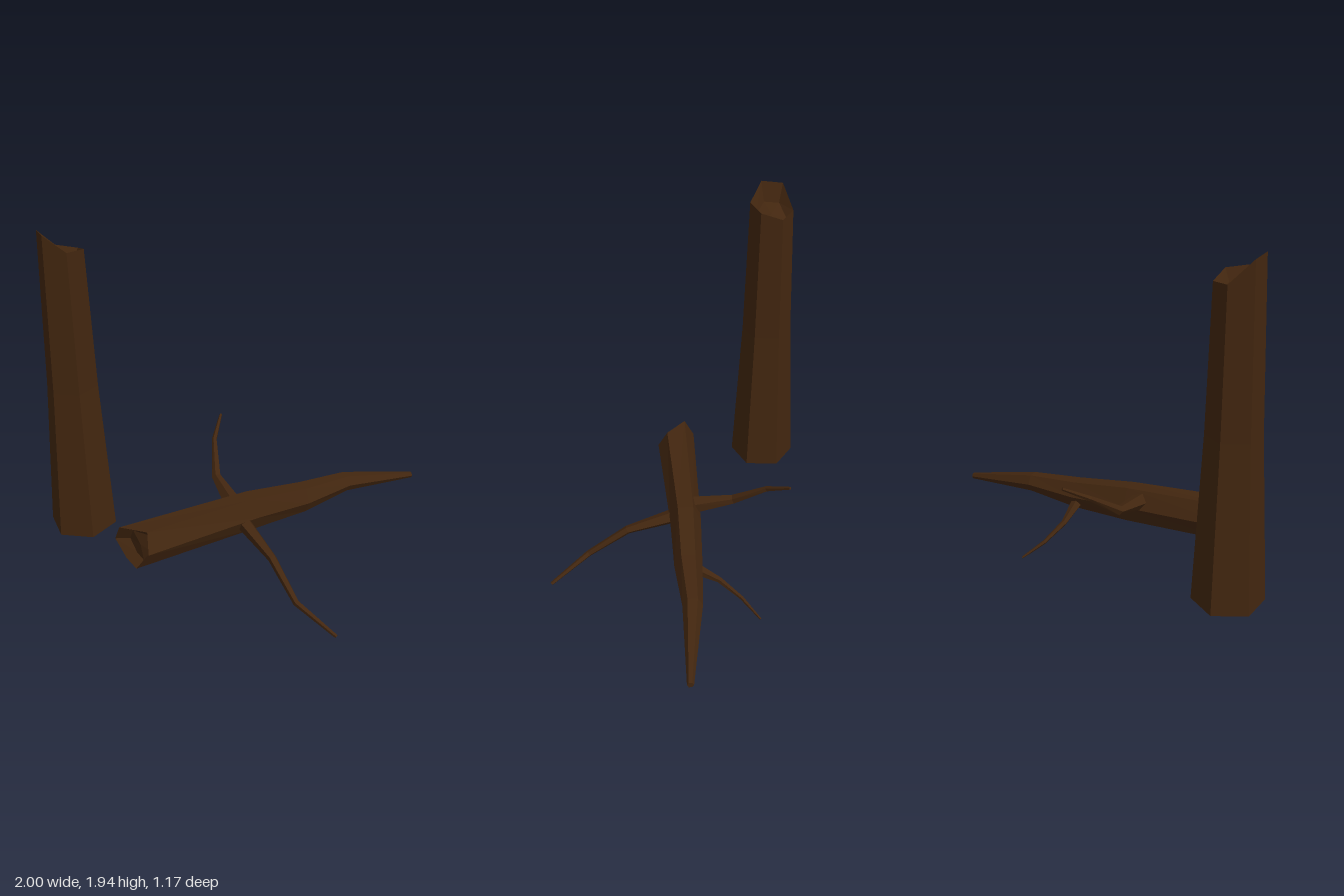
import * as THREE from 'three';

const bark = new THREE.MeshStandardMaterial({ color: 0x42260f, flatShading: true });
bark.name = 'bark brown';

const V = (x, y, z) => new THREE.Vector3(x, y, z);

// One elliptical ring of n corners; shift moves each corner along u x v
function ring(c, u, v, ru, rv, n, shift = []) {
  const t = u.clone().cross(v);
  return Array.from({ length: n }, (_, i) => {
    const a = (i / n) * Math.PI * 2;
    return c.clone().addScaledVector(u, ru * Math.cos(a))
      .addScaledVector(v, rv * Math.sin(a)).addScaledVector(t, shift[i] ?? 0);
  });
}

// Skin a run of rings and close both ends with fans
function loft(name, rings) {
  const pos = [];
  const tri = (...p) => p.forEach((q) => pos.push(q.x, q.y, q.z));
  const n = rings[0].length;
  const middle = (r) => r.reduce((s, p) => s.add(p), V(0, 0, 0)).divideScalar(n);
  const first = rings[0], last = rings[rings.length - 1];
  const c0 = middle(first), c1 = middle(last);
  for (let i = 0; i < n; i++) {
    const j = (i + 1) % n;
    for (let k = 0; k + 1 < rings.length; k++) {
      const a = rings[k], b = rings[k + 1];
      tri(a[i], a[j], b[j]);
      tri(a[i], b[j], b[i]);
    }
    tri(c0, first[j], first[i]);
    tri(c1, last[i], last[j]);
  }
  const g = new THREE.BufferGeometry();
  g.setAttribute('position', new THREE.Float32BufferAttribute(pos, 3));
  g.computeVertexNormals();
  const mesh = new THREE.Mesh(g, bark);
  mesh.name = name;
  return mesh;
}

// Standing stump: tapered hexagon with a splintered, hollow top
function makeTrunk() {
  const u = V(1, 0, 0), v = V(0, 0, -1);
  const at = (y, r, shift) => ring(V(-0.82, y, 0.052), u, v, r, r, 6, shift);
  const jag = [0.015, -0.02, -0.01, 0.1, 0.11, 0.03];
  return loft('standingTrunk', [
    at(0.237, 0.18), at(1.1, 0.135), at(1.83, 0.114, jag),
    at(1.78, 0.08, jag.map((d) => d * 0.5)),
  ]);
}

// Fallen log: hexagonal, broken at the thick end and tapering to a tip
function makeLog() {
  const t = V(0.817, 0, -0.577), p = V(0.577, 0, 0.817);
  const u = p.clone().negate(), v = V(0, 1, 0);
  const jag = [-0.05, -0.045, 0.065, 0.045, -0.005, -0.015];
  // distance along, sideways offset, height, half width, vertical radius
  const rows = [
    [-0.58, 0.095, 0.375, 0.078, 0.085, jag.map((d) => d * 0.5)],
    [-0.627, 0.094, 0.377, 0.107, 0.12, jag],
    [0.08, 0.071, 0.357, 0.084, 0.114],
    [0.41, 0.072, 0.338, 0.074, 0.088],
    [0.7, 0.065, 0.347, 0.052, 0.055],
    [1.14, 0.099, 0.276, 0.017, 0.018],
  ];
  return loft('fallenLog', rows.map(([s, q, y, ru, rv, shift]) => ring(
    V(0, y, 0).addScaledVector(t, s).addScaledVector(p, q), u, v, ru, rv, 6, shift)));
}

// Bare branch: five-sided, thinning along a bent path
function makeBranch(name, points, radii) {
  const pts = points.map((p) => V(...p));
  return loft(name, pts.map((p, i) => {
    const t = pts[Math.min(i + 1, pts.length - 1)].clone()
      .sub(pts[Math.max(i - 1, 0)]).normalize();
    const u = V(0, 1, 0).cross(t).normalize();
    return ring(p, u, t.clone().cross(u), radii[i], radii[i], 5);
  }));
}

export function createModel() {
  const model = new THREE.Group();
  model.name = 'brokenTree';
  model.add(
    makeTrunk(),
    makeLog(),
    makeBranch('upperBranch',
      [[0.01, 0.4, 0.02], [-0.105, 0.44, -0.165], [-0.142, 0.57, -0.35], [-0.125, 0.65, -0.495]],
      [0.048, 0.026, 0.015, 0.008]),
    makeBranch('lowerTwig',
      [[0.34, 0.3, -0.2], [0.28, 0.225, -0.31], [0.263, 0.145, -0.44], [0.281, 0.072, -0.567]],
      [0.032, 0.016, 0.011, 0.006]),
    makeBranch('frontBranch',
      [[0.08, 0.335, 0.1], [0.255, 0.268, 0.3], [0.4, 0.122, 0.468], [0.617, 0.012, 0.573]],
      [0.042, 0.024, 0.018, 0.01]),
  );
  return model;
}
